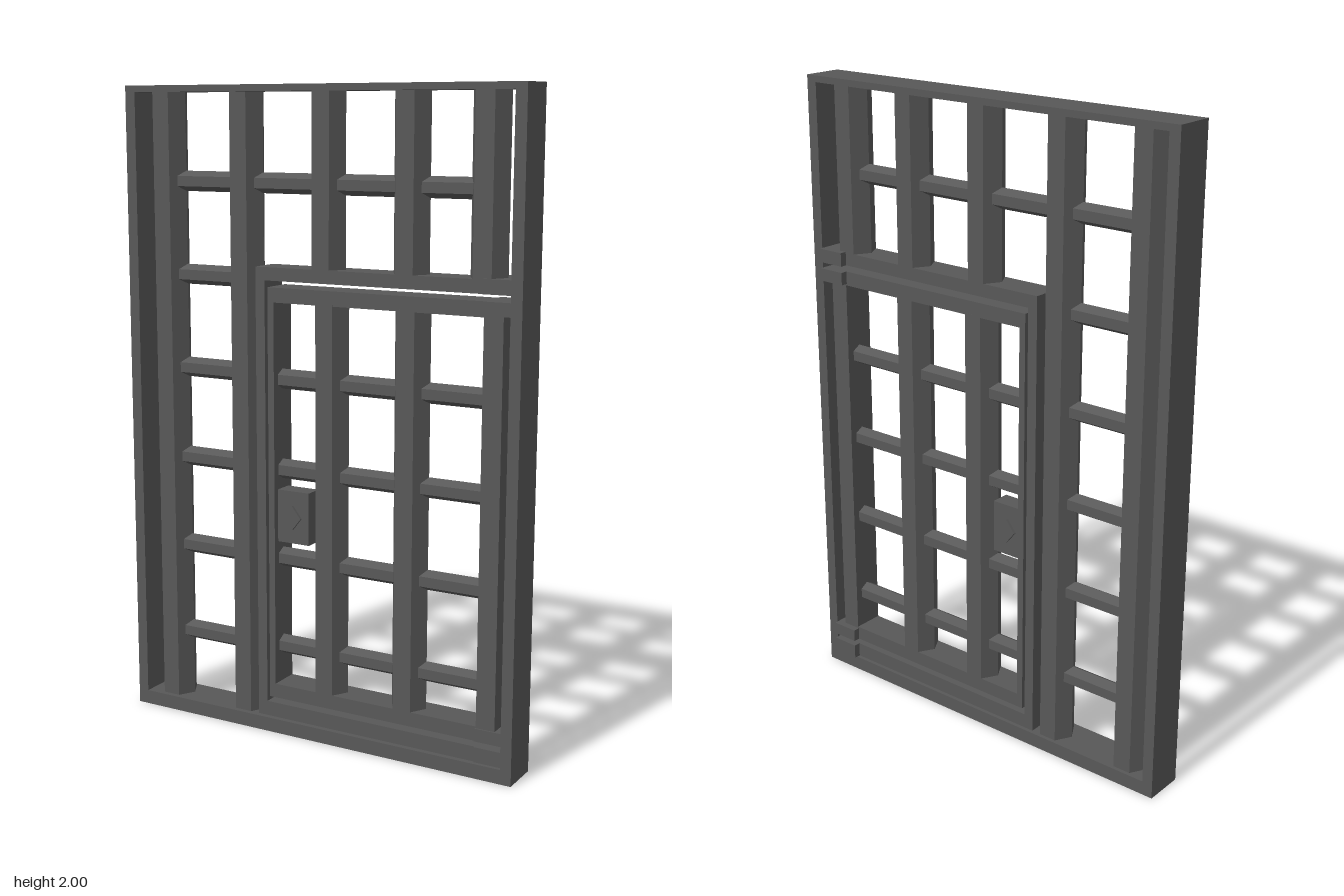
import * as THREE from 'three';

export function createModel() {
  const model = new THREE.Group();
  model.name = 'barredGate';
  const iron = new THREE.MeshStandardMaterial({ color: 0x585858 });
  iron.name = 'dark iron';

  function add(parent, name, geometry, x, y, z) {
    const mesh = new THREE.Mesh(geometry, iron);
    mesh.name = name;
    mesh.position.set(x, y, z);
    parent.add(mesh);
    return mesh;
  }
  // Box given by its limits on each axis
  function block(parent, name, x0, x1, y0, y1, z0, z1) {
    return add(parent, name, new THREE.BoxGeometry(x1 - x0, y1 - y0, z1 - z0),
      (x0 + x1) / 2, (y0 + y1) / 2, (z0 + z1) / 2);
  }
  // Faceted six-sided rod with a flat face to the front
  function hexRod(radius, length) {
    const g = new THREE.CylinderGeometry(radius, radius, length, 6, 1, false, Math.PI / 2).toNonIndexed();
    g.computeVertexNormals();
    return g;
  }
  function upright(parent, x, y0, y1) {
    add(parent, 'uprightBar', hexRod(0.058, y1 - y0), x, (y0 + y1) / 2, 0);
  }
  function crossbar(parent, y, x0, x1) {
    add(parent, 'crossbar', hexRod(0.031, x1 - x0).rotateZ(Math.PI / 2), (x0 + x1) / 2, y, 0);
  }
  function group(name) {
    const g = new THREE.Group();
    g.name = name;
    model.add(g);
    return g;
  }

  // Outer frame
  const frame = group('outerFrame');
  const zb = -0.062, zf = 0.067;
  block(frame, 'frameRight', -0.667, -0.632, 0, 2, zb, zf);
  block(frame, 'frameLeft', 0.632, 0.667, 0, 2, zb, zf);
  block(frame, 'frameTop', -0.632, 0.632, 1.98, 2, zb, zf);
  block(frame, 'frameBottom', -0.632, 0.632, 0, 0.045, zb, zf);

  // Fixed bars beside and above the door
  const grille = group('fixedGrille');
  for (const x of [-0.548, -0.267]) upright(grille, x, 0.04, 1.985);
  for (const x of [0.018, 0.293, 0.537]) upright(grille, x, 1.465, 1.985);
  for (const y of [0.265, 0.555, 0.844, 1.132, 1.425, 1.712]) crossbar(grille, y, -0.51, -0.305);
  for (const [a, b] of [[-0.23, -0.02], [0.055, 0.26], [0.335, 0.495]]) crossbar(grille, 1.712, a, b);

  // Surround in which the door hangs
  const d = 0.05;
  const surround = group('doorSurround');
  block(surround, 'surroundSide', -0.208, -0.176, 0.04, 1.465, -d, d);
  block(surround, 'surroundTop', -0.176, 0.545, 1.425, 1.465, -d, d);
  block(surround, 'surroundBottom', -0.176, 0.545, 0.04, 0.092, -d, d);

  // Door leaf
  const door = group('door');
  block(door, 'lockStile', -0.166, -0.145, 0.11, 1.405, -d, d);
  block(door, 'hingeStile', 0.545, 0.605, 0.15, 1.365, -d, d);
  block(door, 'topRail', -0.145, 0.545, 1.36, 1.405, -d, d);
  block(door, 'bottomRail', -0.145, 0.545, 0.11, 0.155, -d, d);
  for (const x of [0.03, 0.3]) upright(door, x, 0.15, 1.365);
  for (const y of [0.275, 0.56, 0.841, 1.122])
    for (const [a, b] of [[-0.148, -0.01], [0.06, 0.265], [0.335, 0.548]]) crossbar(door, y, a, b);

  // Hinge blocks standing slightly proud at the back
  for (const [a, b] of [[0.045, 0.092], [0.11, 0.15], [1.365, 1.405], [1.425, 1.468]])
    block(model, 'hinge', 0.542, 0.632, a, b, -0.072, 0.055);

  // Lock case with a diamond boss on both faces
  block(door, 'lockCase', -0.146, -0.035, 0.615, 0.78, -0.03, 0.03);
  const shape = new THREE.Shape([[0, -0.038], [0.03, 0], [0, 0.038], [-0.03, 0]]
    .map(([x, y]) => new THREE.Vector2(x, y)));
  const diamond = new THREE.ExtrudeGeometry(shape, { depth: 0.076, bevelEnabled: false });
  add(door, 'lockDiamond', diamond, -0.09, 0.697, -0.038);

  return model;
}
